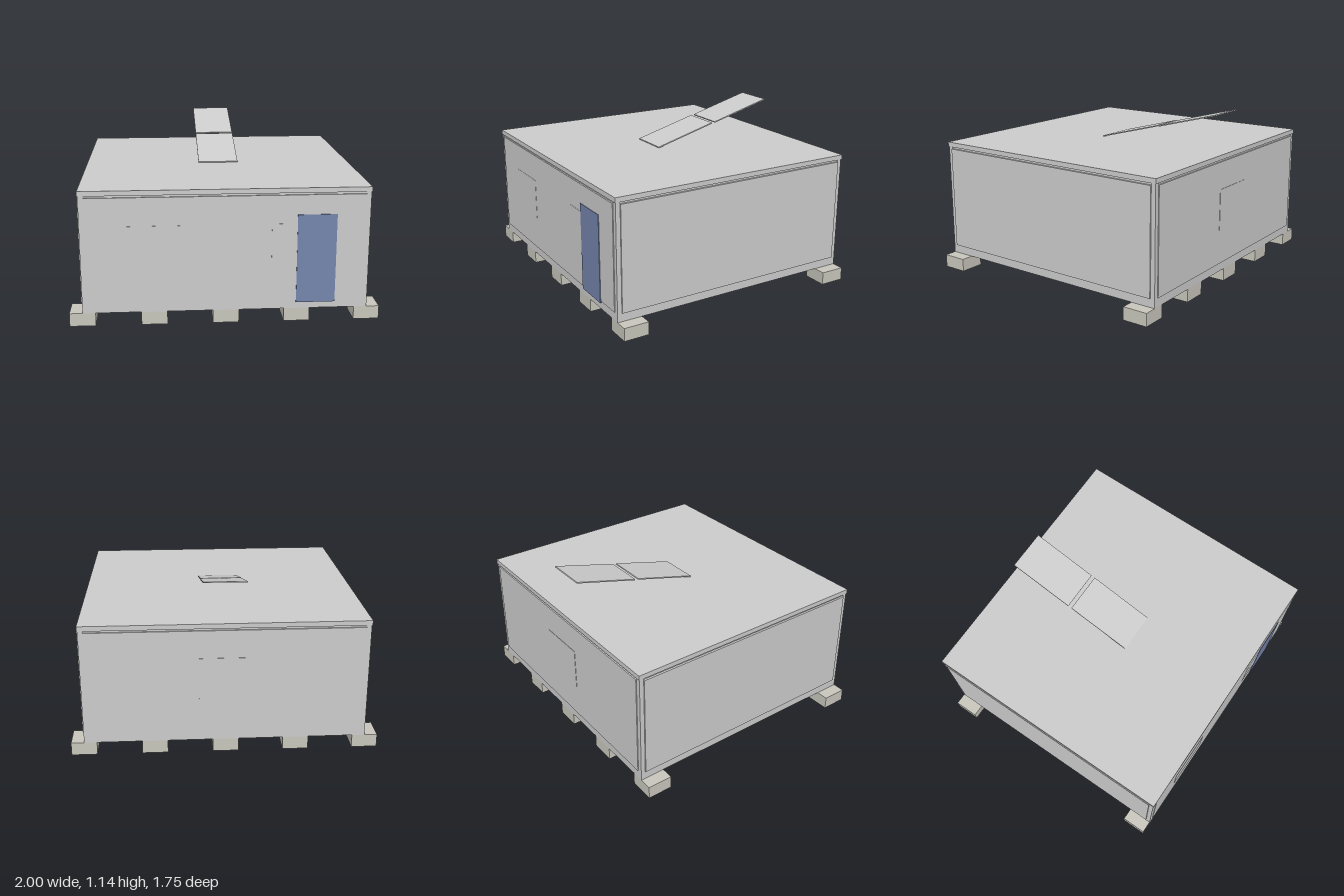
import * as THREE from 'three';

const grey = new THREE.MeshStandardMaterial({ color: 0xcccccc });
const concrete = new THREE.MeshStandardMaterial({ color: 0xc8c6bc });
const boards = new THREE.MeshStandardMaterial({ color: 0xb0a890 });
const blue = new THREE.MeshStandardMaterial({ color: 0x7484ac });

export function createModel() {
  const cabin = new THREE.Group();
  cabin.name = 'cabin';

  // Box given by its min and max on each axis
  const box = (name, [x0, x1], [y0, y1], [z0, z1], material = grey) => {
    const mesh = new THREE.Mesh(new THREE.BoxGeometry(x1 - x0, y1 - y0, z1 - z0), material);
    mesh.position.set((x0 + x1) / 2, (y0 + y1) / 2, (z0 + z1) / 2);
    mesh.name = name;
    cabin.add(mesh);
    return mesh;
  };
  const span = (centre, size) => [centre - size / 2, centre + size / 2];

  // Foundation blocks: a row of five along the front and the back
  for (const z of [-0.78, 0.78]) {
    for (let i = -2; i <= 2; i++) {
      box('foundationBlock', span(i * 0.4583, 0.167), [0, 0.087], span(z, 0.17), concrete);
    }
  }

  // Frame: bottom beams, corner posts and roof slab
  for (const s of [-1, 1]) {
    box('longBeam', [-0.916, 0.916], [0.087, 0.145], span(s * 0.85, 0.03));
    box('shortBeam', span(s * 0.9, 0.032), [0.087, 0.145], [-0.835, 0.835]);
    for (const t of [-1, 1]) {
      box('cornerPost', span(s * 0.9, 0.032), [0.145, 0.858], span(t * 0.85, 0.03));
    }
  }
  box('roof', [-0.92, 0.92], [0.858, 0.89], [-0.87, 0.87]);
  box('roofUnderside', [-0.91, 0.91], [0.845, 0.858], [-0.86, 0.86]);

  // Floor in two halves
  for (const s of [-1, 1]) {
    box('floor', span(s * 0.4425, 0.883), [0.089, 0.14], [-0.835, 0.835], boards);
  }

  // Wall panels, standing slightly proud of the frame
  for (const s of [-1, 1]) {
    box('longWall', [-0.885, 0.885], [0.145, 0.845], span(s * 0.853, 0.034));
    box('sideWall', span(s * 0.907, 0.034), [0.145, 0.845], [-0.835, 0.835]);
  }

  // Door and flush windows
  box('door', [0.452, 0.703], [0.13, 0.717], [0.86, 0.874], blue);
  for (const x of [-0.46, 0.46]) {
    box('frontWindow', span(x, 0.34), [0.38, 0.66], [0.86, 0.8715]);
  }
  box('backWindow', span(0, 0.34), [0.38, 0.66], [-0.8725, -0.86]);

  // Two tilted roof plates in one sloping line
  for (const [y, z] of [[0.9545, -0.11], [1.0775, -0.58]]) {
    const plate = box('tiltedPlate', [-0.138, 0.138], span(y, 0.008), span(z, 0.46));
    plate.rotation.x = 0.262;
  }
  return cabin;
}
